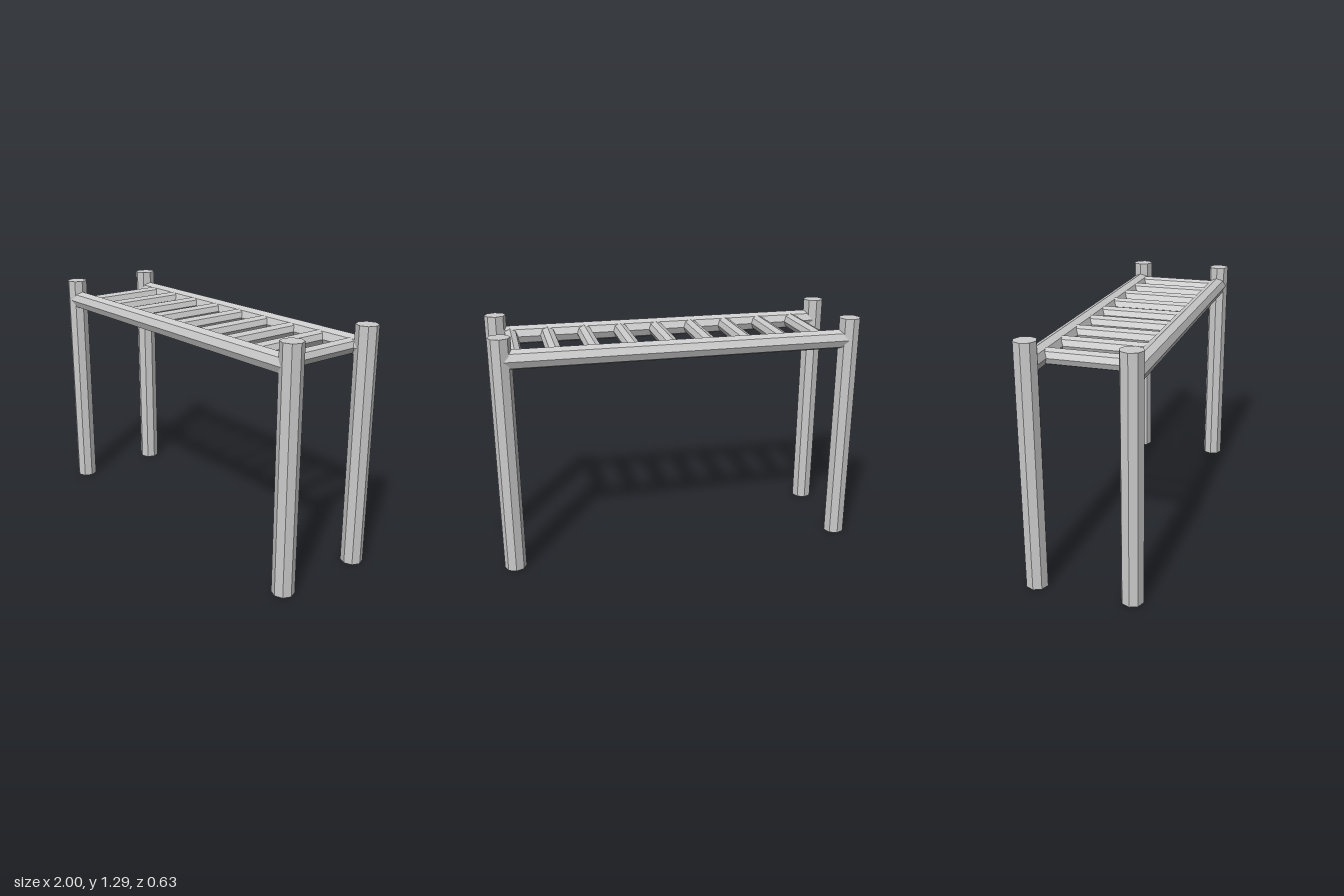
import * as THREE from 'three';

export function createModel() {
  const group = new THREE.Group();
  const material = new THREE.MeshStandardMaterial({ color: 0xcccccc, flatShading: true });
  const postX = 0.941, sideZ = 0.254, barY = 1.175;

  // Octagonal pole laid along the chosen axis
  function pole(name, radius, length, axis, x, y, z) {
    const geometry = new THREE.CylinderGeometry(radius, radius, length, 8);
    if (axis === 'x') geometry.rotateZ(Math.PI / 2);
    if (axis === 'z') geometry.rotateX(Math.PI / 2);
    const mesh = new THREE.Mesh(geometry, material);
    mesh.name = name;
    mesh.position.set(x, y, z);
    group.add(mesh);
  }

  for (const [sz, depth] of [[1, 'front'], [-1, 'back']]) {
    // Upright posts
    for (const [sx, side] of [[1, 'Left'], [-1, 'Right']]) {
      pole(`${depth}${side}Post`, 0.059, 1.293, 'y', sx * postX, 1.293 / 2, sz * sideZ);
    }
    // Long side rails, ending inside the posts
    pole(`${depth}Rail`, 0.053, 2 * postX, 'x', 0, barY, sz * sideZ);
  }

  // Evenly spaced rungs, set slightly off centre along the rails
  for (let i = 0; i < 9; i++) {
    pole(`rung${i + 1}`, 0.0425, 2 * sideZ, 'z', -0.786 + i * 0.2065, barY, 0);
  }

  return group;
}
